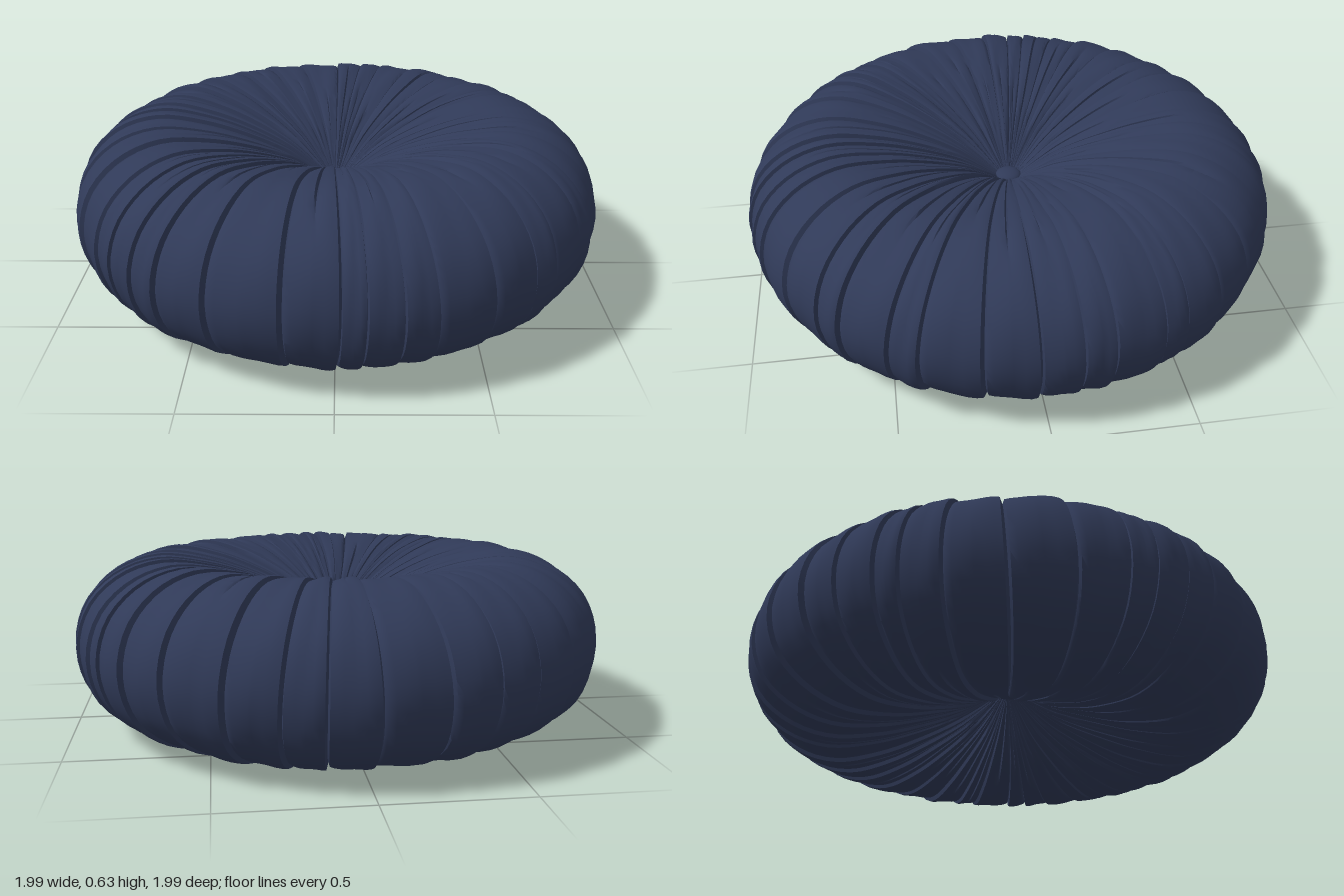
import * as THREE from 'three';
import { toCreasedNormals } from 'three/addons/utils/BufferGeometryUtils.js';

const navy = new THREE.MeshStandardMaterial({ color: 0x303a58 });
navy.name = 'navy fabric';

function seeded(seed) {
  return () => {
    seed = (seed * 16807) % 2147483647;
    return seed / 2147483647;
  };
}

// Half section of the cushion, from the upper tuft round the rim to the lower tuft
const section = new THREE.CatmullRomCurve3([
  [0.015, 0.37], [0.08, 0.415], [0.2, 0.49], [0.35, 0.555], [0.5, 0.6], [0.68, 0.622],
  [0.83, 0.575], [0.94, 0.47], [0.982, 0.32], [0.94, 0.17], [0.83, 0.07], [0.68, 0.022],
  [0.5, 0.042], [0.35, 0.088], [0.2, 0.15], [0.08, 0.22], [0.015, 0.265],
].map(([r, y]) => new THREE.Vector3(r, y, 0)), false, 'centripetal');

// Height across one pleat: a sharp fold at the start, swelling towards the next fold
const ACROSS = [
  [0, -1.1], [0.04, 0], [0.15, 0.3], [0.3, 0.5], [0.45, 0.65],
  [0.5, 0.68], [0.55, 0.7], [0.7, 0.88], [0.85, 1], [0.95, 0.85],
];

function pleatColumns() {
  const rand = seeded(4217);
  const pleats = Array.from({ length: 38 }, () => ({
    width: 0.55 + rand() * 0.9,
    puff: 0.6 + rand() * 0.6,
    reachTop: 0.35 + rand() * 0.55,
    reachBottom: 0.35 + rand() * 0.55,
    phase: rand() * 6.28,
  }));
  const total = pleats.reduce((sum, p) => sum + p.width, 0);
  const columns = [];
  let start = 0;
  for (const p of pleats) {
    const span = (p.width / total) * Math.PI * 2;
    for (const [t, h] of ACROSS) columns.push({ p, t, h, angle: start + t * span });
    start += span;
  }
  return columns;
}

function pleatedCover() {
  const columns = pleatColumns();
  const rows = 56;
  const n = columns.length;
  const positions = [];
  const index = [];
  for (let i = 0; i <= rows; i++) {
    const v = i / rows;
    const c = section.getPointAt(v);
    const tan = section.getTangentAt(v);
    const amp = Math.min(0.013, 0.07 * c.x);
    for (const { p, t, h, angle } of columns) {
      let lift = h * p.puff;
      // Short gathers that fade out before the rim
      const reach = v < 0.5 ? p.reachTop : p.reachBottom;
      if (t === 0.5) lift -= 1.5 * THREE.MathUtils.clamp((reach - c.x) / 0.25, 0, 1);
      // Soft creases in the cloth
      lift += 0.22 * Math.sin(v * 23 + p.phase + t * 5) * Math.sin(t * Math.PI);
      const d = lift * amp;
      const r = c.x - tan.y * d;
      const y = c.y + tan.x * d;
      const a = angle + 0.018 * Math.sin(7 * angle + 5 * v) + 0.012 * Math.sin(4 * angle - 9 * v);
      positions.push(r * Math.sin(a), y, r * Math.cos(a));
    }
  }
  for (let i = 0; i < rows; i++) {
    for (let j = 0; j < n; j++) {
      const k = (j + 1) % n;
      const a = i * n + j, b = a + n, c = (i + 1) * n + k, d = i * n + k;
      index.push(a, b, c, a, c, d);
    }
  }
  const geometry = new THREE.BufferGeometry();
  geometry.setAttribute('position', new THREE.Float32BufferAttribute(positions, 3));
  geometry.setIndex(index);
  return toCreasedNormals(geometry, 0.9);
}

function part(name, geometry) {
  const mesh = new THREE.Mesh(geometry, navy);
  mesh.name = name;
  return mesh;
}

export function createModel() {
  const group = new THREE.Group();
  group.name = 'roundCushion';
  group.add(part('pleatedCover', pleatedCover()));

  // Covered buttons pulling in both tufts
  for (const [name, y, height] of [['topButton', 0.39, 0.022], ['bottomButton', 0.25, 0.015]]) {
    const button = part(name, new THREE.SphereGeometry(0.05, 28, 16));
    button.scale.y = height / 0.05;
    button.position.y = y;
    group.add(button);
  }
  return group;
}
